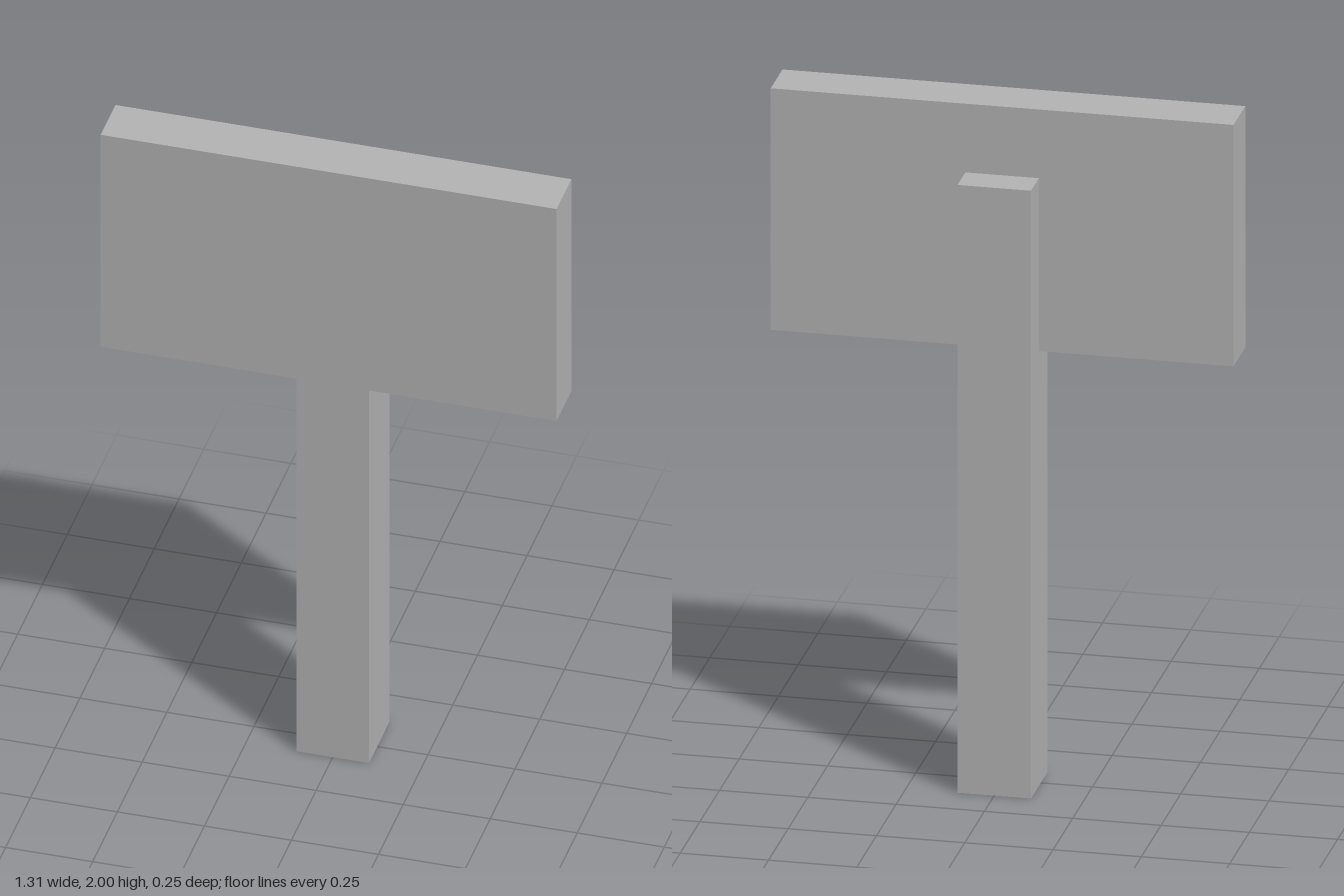
import * as THREE from 'three';

export function createModel() {
  const model = new THREE.Group();
  model.name = 'signpost';

  const grey = new THREE.MeshStandardMaterial({ color: 0xb4b4b4 });
  grey.name = 'grey';

  // Box given by its extents along each axis
  const addBox = (name, [x0, x1], [y0, y1], [z0, z1]) => {
    const mesh = new THREE.Mesh(new THREE.BoxGeometry(x1 - x0, y1 - y0, z1 - z0), grey);
    mesh.position.set((x0 + x1) / 2, (y0 + y1) / 2, (z0 + z1) / 2);
    mesh.name = name;
    model.add(mesh);
  };

  // Square post, running up behind the board
  addBox('post', [-0.104, 0.104], [0, 1.797], [-0.125, 0.083]);
  // Wide sign board, set into the front of the post
  addBox('signBoard', [-0.655, 0.655], [1.286, 2], [-0.025, 0.125]);

  return model;
}
